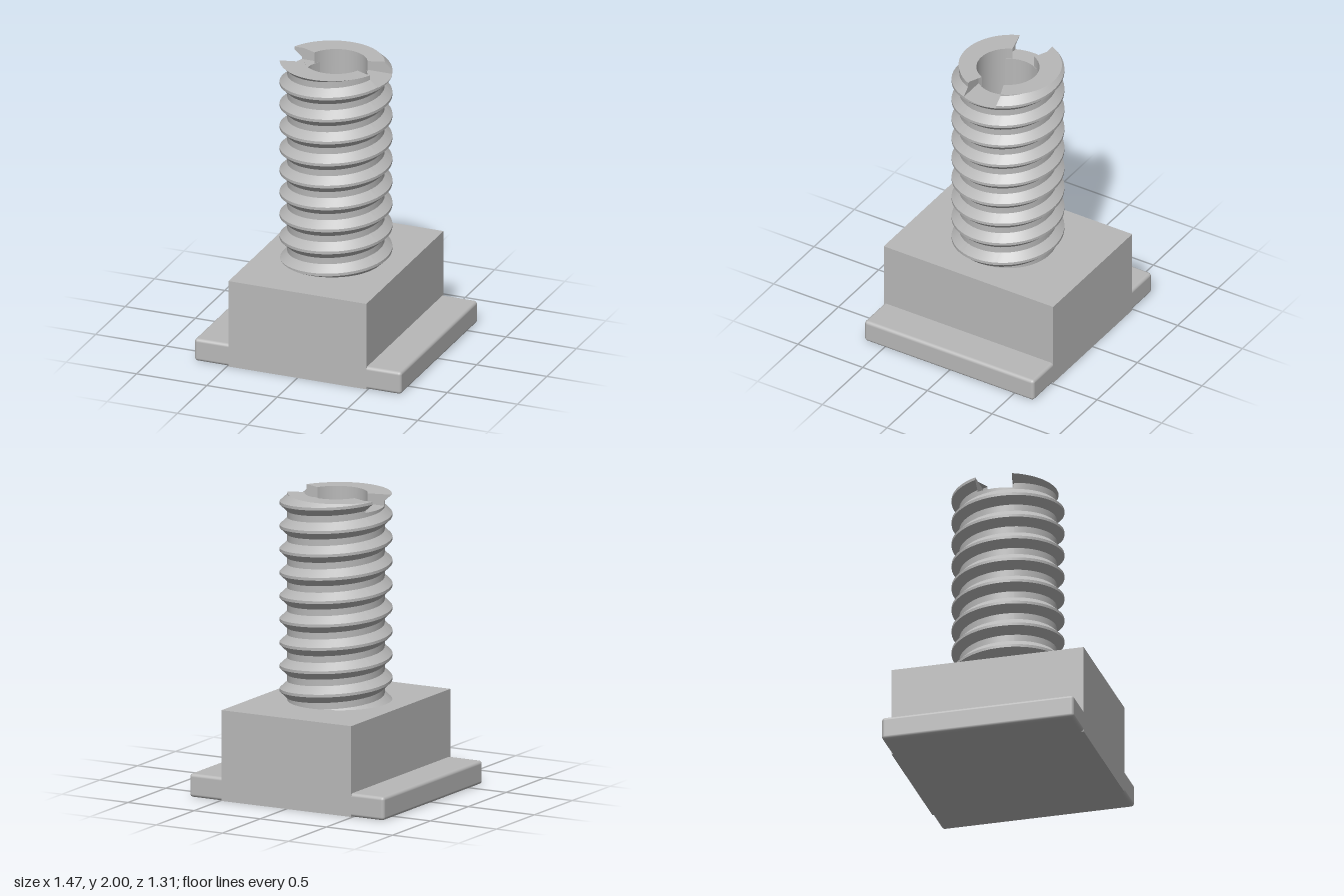
import * as THREE from 'three';
import { toCreasedNormals } from 'three/addons/utils/BufferGeometryUtils.js';
import { RoundedBoxGeometry } from 'three/addons/geometries/RoundedBoxGeometry.js';

const TOP = 2, SLOT_Y = 1.92, SLOT_Z = 0.125, BORE = 0.207, FLOOR = 1.4, BOTTOM = 0.59;
const PITCH = 0.157, CREST = 0.37, ROOT = 0.32;
const EDGE = Math.asin(SLOT_Z / 0.35);

// thread profile over one pitch: [fraction of pitch, radius]
const PROFILE = [[-0.06, CREST], [0.06, CREST], [0.36, ROOT], [0.64, ROOT], [0.94, CREST]];

// outer radius at a height and angle of the right-handed helix
function threadRadius(y, angle) {
  let u = (y - TOP) / PITCH - (Math.PI - angle) / (2 * Math.PI) + 0.06;
  u = u - Math.floor(u) - 0.06;
  for (let i = 1; i < PROFILE.length; i++) {
    const [u0, r0] = PROFILE[i - 1], [u1, r1] = PROFILE[i];
    if (u <= u1) return r0 + (r1 - r0) * (u - u0) / (u1 - u0);
  }
  return CREST;
}

// [radius, height] pairs up the thread, clipped between two heights
function threadColumn(angle, low, high) {
  const column = [];
  for (let n = -11; n <= 2; n++) {
    for (const [u] of PROFILE.slice(0, 4)) {
      const y = TOP + PITCH * (n + u + (Math.PI - angle) / (2 * Math.PI));
      const h = Math.min(high, Math.max(low, y));
      column.push([threadRadius(h, angle), h]);
    }
  }
  return column;
}

function meshFrom(columns, flip) {
  const pos = [], index = [], rows = columns[0].length;
  columns.forEach(c => c.forEach(p => pos.push(...p)));
  for (let j = 0; j < columns.length - 1; j++) {
    for (let k = 0; k < rows - 1; k++) {
      const a = j * rows + k, b = a + 1, c = a + rows, d = c + 1;
      if (flip) index.push(a, c, b, b, c, d);
      else index.push(a, b, c, b, d, c);
    }
  }
  const geo = new THREE.BufferGeometry();
  geo.setAttribute('position', new THREE.Float32BufferAttribute(pos, 3));
  geo.setIndex(index);
  return toCreasedNormals(geo, 0.35);
}

// one sector of the stud: thread, top ring and bore wall
function studSector(start, end, cap, steps) {
  const columns = [];
  for (let j = 0; j <= steps; j++) {
    const angle = start + (end - start) * j / steps;
    const onEdge = j === 0 || j === steps;
    const column = [...threadColumn(angle, BOTTOM, cap), [BORE, cap], [BORE, FLOOR]];
    columns.push(column.map(([r, y]) => {
      if (!onEdge) return [r * Math.cos(angle), y, r * Math.sin(angle)];
      // the slot edges run straight along x
      return [Math.sign(Math.cos(angle)) * Math.sqrt(r * r - SLOT_Z * SLOT_Z), y,
        Math.sign(Math.sin(angle)) * SLOT_Z];
    }));
  }
  return meshFrom(columns, false);
}

// upright side of the slot between bore and thread
function slotWall(sx, sz) {
  let angle = Math.atan2(sz * Math.sin(EDGE), sx * Math.cos(EDGE));
  if (angle < -EDGE - 0.01) angle += 2 * Math.PI;
  const place = (r, y) => [sx * Math.sqrt(r * r - SLOT_Z * SLOT_Z), y, sz * SLOT_Z];
  const outer = threadColumn(angle, SLOT_Y, TOP);
  return meshFrom([outer.map(([, y]) => place(BORE, y)), outer.map(([r, y]) => place(r, y))], sx * sz < 0);
}

export function createModel() {
  const model = new THREE.Group();
  const steel = new THREE.MeshStandardMaterial({ color: 0xb8b8b8 });
  steel.name = 'steel grey';
  const add = (parent, name, geo, x = 0, y = 0, z = 0) => {
    const mesh = new THREE.Mesh(geo, steel);
    mesh.name = name;
    mesh.position.set(x, y, z);
    parent.add(mesh);
    return mesh;
  };

  // T-shaped foot
  add(model, 'basePlate', new RoundedBoxGeometry(1.472, 0.157, 1.31, 4, 0.022), 0, 0.0785, 0);
  add(model, 'block', new THREE.BoxGeometry(0.98, 0.61, 1.31), 0, 0.305, 0);

  // threaded stud with a slotted, bored end
  const stud = new THREE.Group();
  stud.name = 'threadedStud';
  model.add(stud);
  for (const half of [0, Math.PI]) {
    add(stud, 'slottedSector', studSector(half - EDGE, half + EDGE, SLOT_Y, 14));
    add(stud, 'fullSector', studSector(half + EDGE, half + Math.PI - EDGE, TOP, 44));
  }
  for (const sx of [-1, 1]) for (const sz of [-1, 1]) add(stud, 'slotWall', slotWall(sx, sz));
  add(stud, 'boreFloor', new THREE.CircleGeometry(BORE, 64).rotateX(-Math.PI / 2), 0, FLOOR, 0);
  return model;
}
